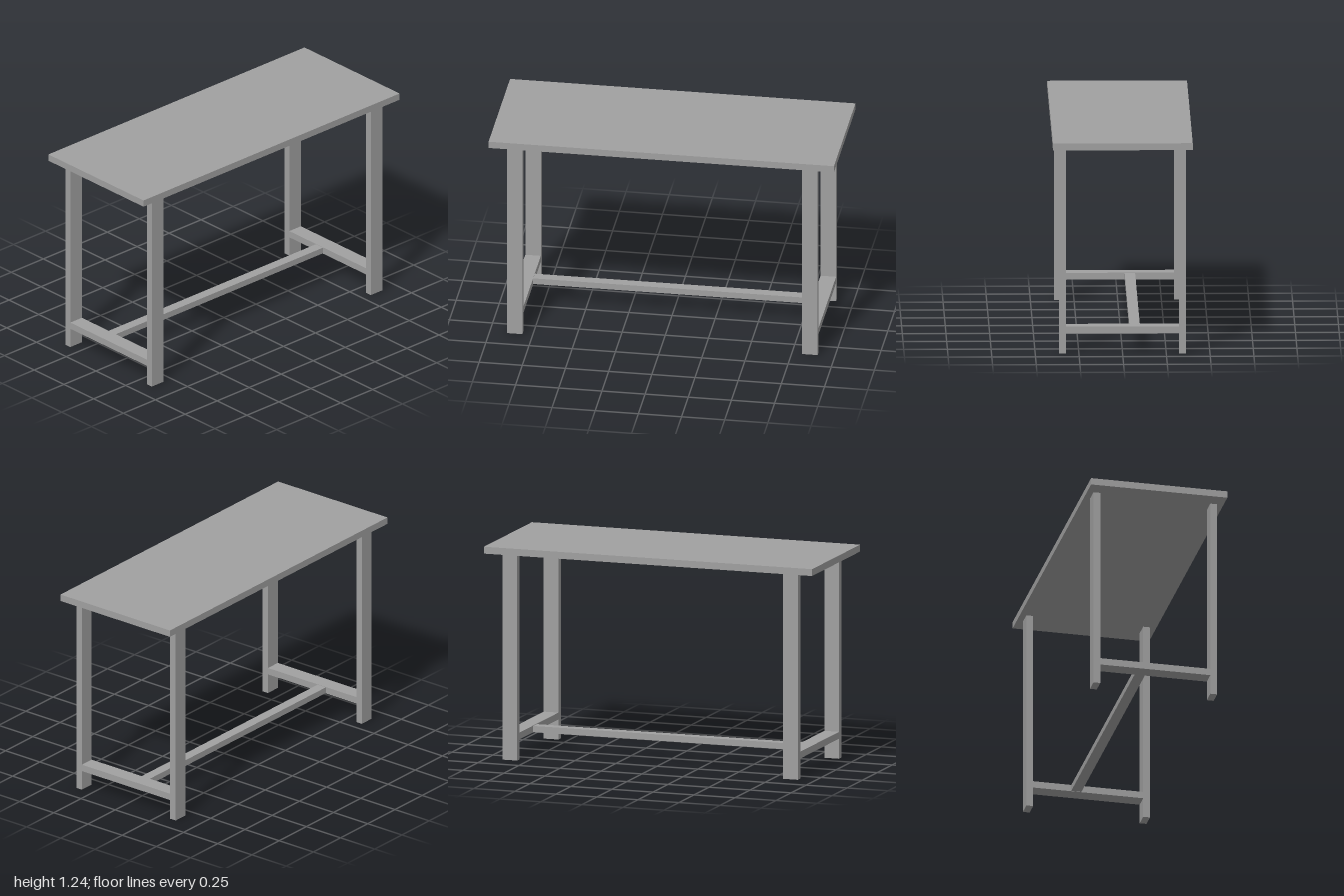
import * as THREE from 'three';

export function createModel() {
  const model = new THREE.Group();
  const material = new THREE.MeshStandardMaterial({ color: 0xa0a0a0, flatShading: true });

  // Adds a named box given its size and centre
  const addBox = (name, [w, h, d], [x, y, z]) => {
    const mesh = new THREE.Mesh(new THREE.BoxGeometry(w, h, d), material);
    mesh.name = name;
    mesh.position.set(x, y, z);
    model.add(mesh);
  };

  // Table top
  addBox('tableTop', [2, 0.04, 0.8], [0, 1.22, 0]);

  for (const [side, sx] of [['left', 1], ['right', -1]]) {
    // Front and back legs
    for (const [end, sz] of [['Front', 1], ['Back', -1]]) {
      addBox(`${side}${end}Leg`, [0.09, 1.2, 0.04], [sx * 0.855, 0.6, sz * 0.343]);
    }
    // Flat rail between the legs of one side
    addBox(`${side}Rail`, [0.09, 0.04, 0.646], [sx * 0.855, 0.137, 0]);
  }

  // Long stretcher joining the side rails, set behind the middle
  addBox('stretcher', [1.62, 0.036, 0.06], [0, 0.137, -0.07]);

  return model;
}
